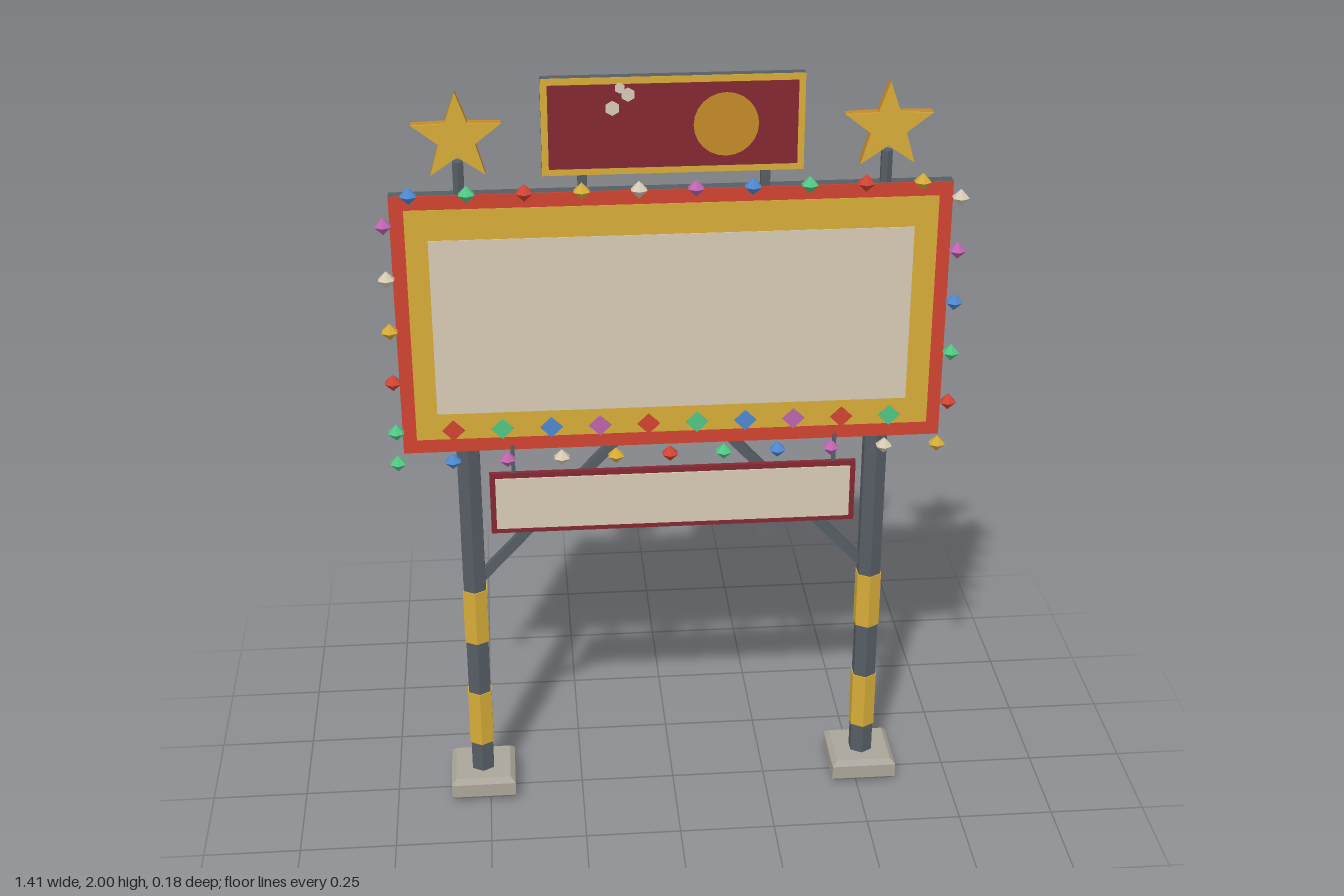
import * as THREE from 'three';

const mat = (name, color) => {
  const m = new THREE.MeshStandardMaterial({ color });
  m.name = name;
  return m;
};

export function createModel() {
  const root = new THREE.Group();
  root.name = 'billboard';
  const steel = mat('steel', 0x555d63), red = mat('red', 0xd04432), yellow = mat('yellow', 0xd6ab38);
  const cream = mat('cream', 0xd6cab4), burgundy = mat('burgundy', 0x842833), concrete = mat('concrete', 0xaaa59a);
  const blue = mat('blue', 0x4f88cf), green = mat('green', 0x50c684), pink = mat('pink', 0xbd65ae);
  const amber = mat('amber', 0xc48a28);

  const add = (name, geo, material, x, y, z) => {
    const m = new THREE.Mesh(geo, material);
    m.name = name;
    m.position.set(x, y, z);
    root.add(m);
    return m;
  };
  // box from its x, y and z limits
  const box = (name, material, x0, x1, y0, y1, z0, z1) => add(name,
    new THREE.BoxGeometry(x1 - x0, y1 - y0, z1 - z0), material, (x0 + x1) / 2, (y0 + y1) / 2, (z0 + z1) / 2);
  // flat-sided upright prism
  const prism = (name, material, r, y0, y1, x, z, sides = 6) => add(name,
    new THREE.CylinderGeometry(r, r, y1 - y0, sides).toNonIndexed(), material, x, (y0 + y1) / 2, z)
    .geometry.computeVertexNormals();
  // thin disc facing forward
  const disc = (name, material, r, sides, x, y, z) => {
    add(name, new THREE.CylinderGeometry(r, r, 0.006, sides), material, x, y, z).rotation.x = Math.PI / 2;
  };

  const starShape = new THREE.Shape();
  for (let i = 0; i < 10; i++) {
    const r = i % 2 ? 0.045 : 0.11, a = Math.PI / 2 + i * Math.PI / 5;
    starShape[i ? 'lineTo' : 'moveTo'](r * Math.cos(a), r * Math.sin(a));
  }
  starShape.closePath();
  const extrude = (shape, depth) => new THREE.ExtrudeGeometry(shape, { depth, bevelEnabled: false });

  // footing with chamfered edges
  const h = 0.073, footShape = new THREE.Shape([[-h, -h], [h, -h], [h, h], [-h, h]].map(p => new THREE.Vector2(...p)));
  const footGeo = new THREE.ExtrudeGeometry(footShape,
    { depth: 0.038, bevelThickness: 0.013, bevelSize: 0.013, bevelSegments: 1 });
  footGeo.rotateX(-Math.PI / 2);

  for (const s of [-1, 1]) {
    const x = s * 0.518;
    add('footing', footGeo, concrete, x, 0.019, -0.008);
    prism('post', steel, 0.033, 0, 1.67, x, 0);
    prism('postBand', yellow, 0.036, 0.156, 0.315, x, 0);
    prism('postBand', yellow, 0.036, 0.473, 0.628, x, 0);
    // diagonal brace
    const dx = -0.37, dy = 0.4;
    const brace = add('brace', new THREE.BoxGeometry(0.024, Math.hypot(dx, dy), 0.022), steel,
      s * (0.505 + dx / 2), 0.65 + dy / 2, -0.007);
    brace.rotation.z = -s * Math.atan2(dx, dy);
    // star on a short stem
    prism('starStem', steel, 0.015, 1.7, 1.8, s * 0.509, 0.024);
    add('star', extrude(starShape, 0.024), amber, s * 0.509, 1.86, 0.012);
    add('starFace', extrude(starShape, 0.004), yellow, s * 0.509, 1.86, 0.036);
    // top sign support and hanger of the lower sign
    box('topSignSupport', steel, s * 0.218 - 0.011, s * 0.218 + 0.011, 1.7, 1.78, 0.016, 0.036);
    box('hanger', steel, s * 0.406 - 0.005, s * 0.406 + 0.005, 0.97, 1.06, 0.036, 0.044);
  }

  // main board
  box('boardBody', steel, -0.676, 0.672, 1.047, 1.722, 0.008, 0.038);
  box('boardBorder', red, -0.676, 0.672, 1.047, 1.722, 0.038, 0.041);
  box('boardField', yellow, -0.642, 0.639, 1.083, 1.687, 0.041, 0.043);
  box('boardScreen', cream, -0.588, 0.582, 1.153, 1.61, 0.043, 0.045);
  const diamondColors = [red, green, blue, pink];
  for (let i = 0; i < 10; i++)
    disc('boardDiamond', diamondColors[i % 4], 0.028, 4, -0.55 + i * 0.1214, 1.107, 0.043);

  // lower hanging sign
  box('lowerSign', burgundy, -0.467, 0.463, 0.812, 0.982, 0.034, 0.046);
  box('lowerSignFace', cream, -0.453, 0.449, 0.826, 0.968, 0.046, 0.05);

  // top sign
  box('topSignBody', steel, -0.312, 0.308, 1.762, 1.997, 0.012, 0.036);
  box('topSignBorder', yellow, -0.312, 0.308, 1.762, 1.997, 0.036, 0.038);
  box('topSignFace', burgundy, -0.296, 0.292, 1.778, 1.981, 0.038, 0.04);
  disc('topSignDisc', amber, 0.077, 24, 0.122, 1.879, 0.039);
  for (const [x, y, r] of [[-0.145, 1.924, 0.018], [-0.127, 1.972, 0.013], [-0.108, 1.956, 0.017]])
    disc('topSignDot', cream, r, 6, x, y, 0.039);

  // string of bulbs around the board
  const bulbGeo = new THREE.SphereGeometry(0.022, 6, 2).rotateY(Math.PI / 6).toNonIndexed();
  bulbGeo.computeVertexNormals();
  const cycle = [red, yellow, cream, pink, blue, green];
  const row = (n, x, y, dx, dy, first) => {
    for (let i = 0; i < n; i++)
      add('bulb', bulbGeo, cycle[(first + i) % 6], x + i * dx, y + i * dy, 0.068);
  };
  row(10, -0.627, 1.733, 0.1353, 0, 4);
  row(5, 0.685, 1.69, 0, -0.135, 2);
  row(11, 0.664, 1.034, -0.1354, 0, 1);
  row(5, -0.69, 1.119, 0, 0.1353, 5);
  return root;
}
